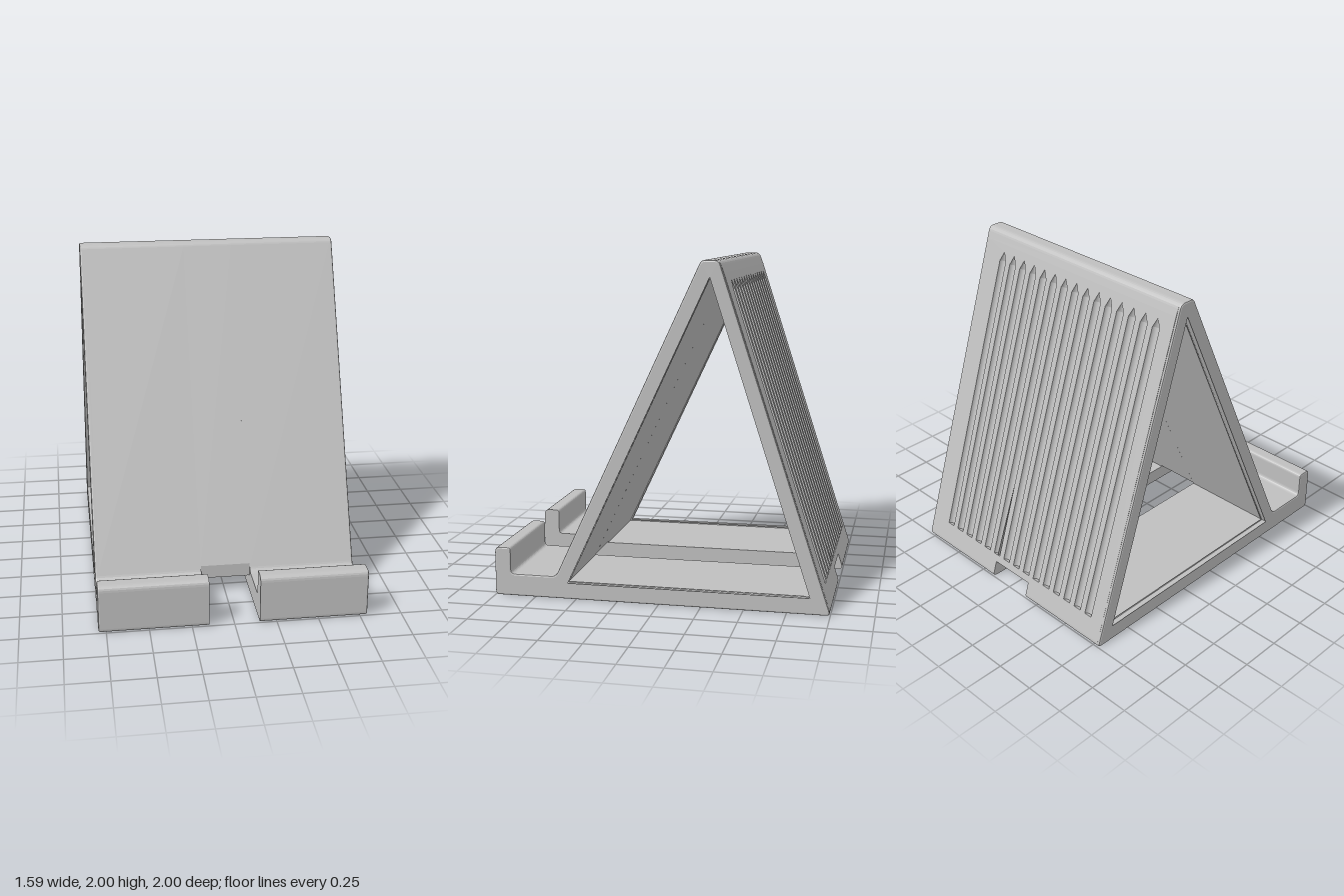
import * as THREE from 'three';

const HALF = 0.795, SLOT = 0.15, SKIN = 0.03, LEAN = 0.325;
const LEN = Math.hypot(1, LEAN);
const SKIN_BOTTOM = 0.1, SKIN_TOP = 1.93;

// Outer line of the back leg at height y, as [z, y], optionally sunk below the skin
const back = (y, sunk = 0) => [
  -0.36 - LEAN * (1.98 - y) + sunk / LEN,
  y - (sunk * LEAN) / LEN,
];

// Closed path through [z, y, radius] points with rounded corners
function trace(path, pts) {
  const v = pts.map(([z, y]) => new THREE.Vector2(-z, y));
  pts.forEach(([, , r = 0], i) => {
    const p = v[i], a = v[(i + v.length - 1) % v.length], b = v[(i + 1) % v.length];
    const s = p.clone().add(a.clone().sub(p).setLength(r));
    const e = p.clone().add(b.clone().sub(p).setLength(r));
    if (i === 0) path.moveTo(s.x, s.y);
    else path.lineTo(s.x, s.y);
    if (r > 0) path.quadraticCurveTo(p.x, p.y, e.x, e.y);
  });
  path.closePath();
  return path;
}

// Extrude a side profile across the width, from x0 to x1
function across(shape, x0, x1, bevel = 0) {
  const g = new THREE.ExtrudeGeometry(shape, {
    depth: x1 - x0 - 2 * bevel, curveSegments: 5,
    bevelEnabled: bevel > 0, bevelSize: bevel, bevelThickness: bevel,
    bevelOffset: -bevel, bevelSegments: 2,
  });
  g.translate(0, 0, x0 + bevel);
  g.rotateY(Math.PI / 2);
  return g;
}

const crown = [[-0.25, 2, 0.025], [-0.35, 2, 0.03]];
const sunkBack = [
  back(SKIN_TOP), back(SKIN_TOP, SKIN), back(SKIN_BOTTOM, SKIN), back(SKIN_BOTTOM),
];

// Full side profile: base, lip, leaning front and back legs, triangular opening
function sideShape(backPoints) {
  const s = trace(new THREE.Shape(), [
    [-1.003, 0, 0.03], [1, 0, 0.025], [1, 0.295, 0.035], [0.9, 0.295, 0.02],
    [0.9, 0.135, 0.025], [0.622, 0.135, 0.03], ...crown, ...backPoints,
  ]);
  s.holes.push(trace(new THREE.Path(), [[0.56, 0.09], [-0.3, 1.92], [-0.895, 0.09]]));
  return s;
}

export function createModel() {
  const grey = new THREE.MeshStandardMaterial({ color: 0xbfbfbf, side: THREE.DoubleSide });
  grey.name = 'light grey';
  const model = new THREE.Group();
  model.name = 'deviceStand';
  const add = (parent, geometry, name) => {
    const m = new THREE.Mesh(geometry, grey);
    m.name = name;
    parent.add(m);
    return m;
  };

  // Two halves of the body on either side of the cable channel, with softened rims
  const core = sideShape(sunkBack), rim = sideShape([]);
  add(model, across(core, SLOT, 0.78), 'leftBody');
  add(model, across(core, -0.78, -SLOT), 'rightBody');
  add(model, across(rim, 0.755, HALF, 0.01), 'leftRim');
  add(model, across(rim, -HALF, -0.755, 0.01), 'rightRim');

  // Legs bridging the channel
  const bridge = trace(new THREE.Shape(), [
    [0.6, 0.1], [0.6, 0.182], ...crown, ...sunkBack,
    [-0.892, 0.1], [-0.3, 1.92], [0.555, 0.1],
  ]);
  add(model, across(bridge, -SLOT, SLOT), 'channelBridge');

  // Grooved skin on the back leg: local y runs up the slope, local z points outward
  const skin = new THREE.Group();
  skin.name = 'groovedBack';
  const up = new THREE.Vector3(0, 1, LEAN).normalize();
  const out = new THREE.Vector3(0, LEAN, -1).normalize();
  skin.quaternion.setFromRotationMatrix(
    new THREE.Matrix4().makeBasis(new THREE.Vector3(-1, 0, 0), up, out));
  const [z0, y0] = back(SKIN_BOTTOM);
  skin.position.set(0, y0, z0);
  model.add(skin);

  const r = 0.026, low = 0.045, shoulder = 1.82, tip = 1.88;
  const height = (SKIN_TOP - SKIN_BOTTOM) * LEN;
  const plate = new THREE.Shape([[-0.78, 0], [0.78, 0], [0.78, height], [-0.78, height]]
    .map(([x, y]) => new THREE.Vector2(x, y)));

  // Half-round grooves with pointed upper ends
  for (let i = 0; i < 15; i++) {
    const x = 0.663 - i * 0.0912;
    plate.holes.push(new THREE.Path([
      [x - r, low], [x - r, shoulder], [x, tip], [x + r, shoulder], [x + r, low],
    ].map(([a, b]) => new THREE.Vector2(a, b))));
    const trough = new THREE.CylinderGeometry(
      r, r, shoulder - low, 10, 1, true, Math.PI / 2, Math.PI);
    trough.translate(x, (shoulder + low) / 2, 0);
    add(skin, trough, 'groove');
    const point = new THREE.CylinderGeometry(
      0, r, tip - shoulder, 10, 1, true, Math.PI / 2, Math.PI);
    point.translate(x, (tip + shoulder) / 2, 0);
    add(skin, point, 'grooveTip');
  }
  const plateGeometry = new THREE.ExtrudeGeometry(plate, { depth: SKIN, bevelEnabled: false });
  plateGeometry.translate(0, 0, -SKIN);
  add(skin, plateGeometry, 'backPlate');

  return model;
}
